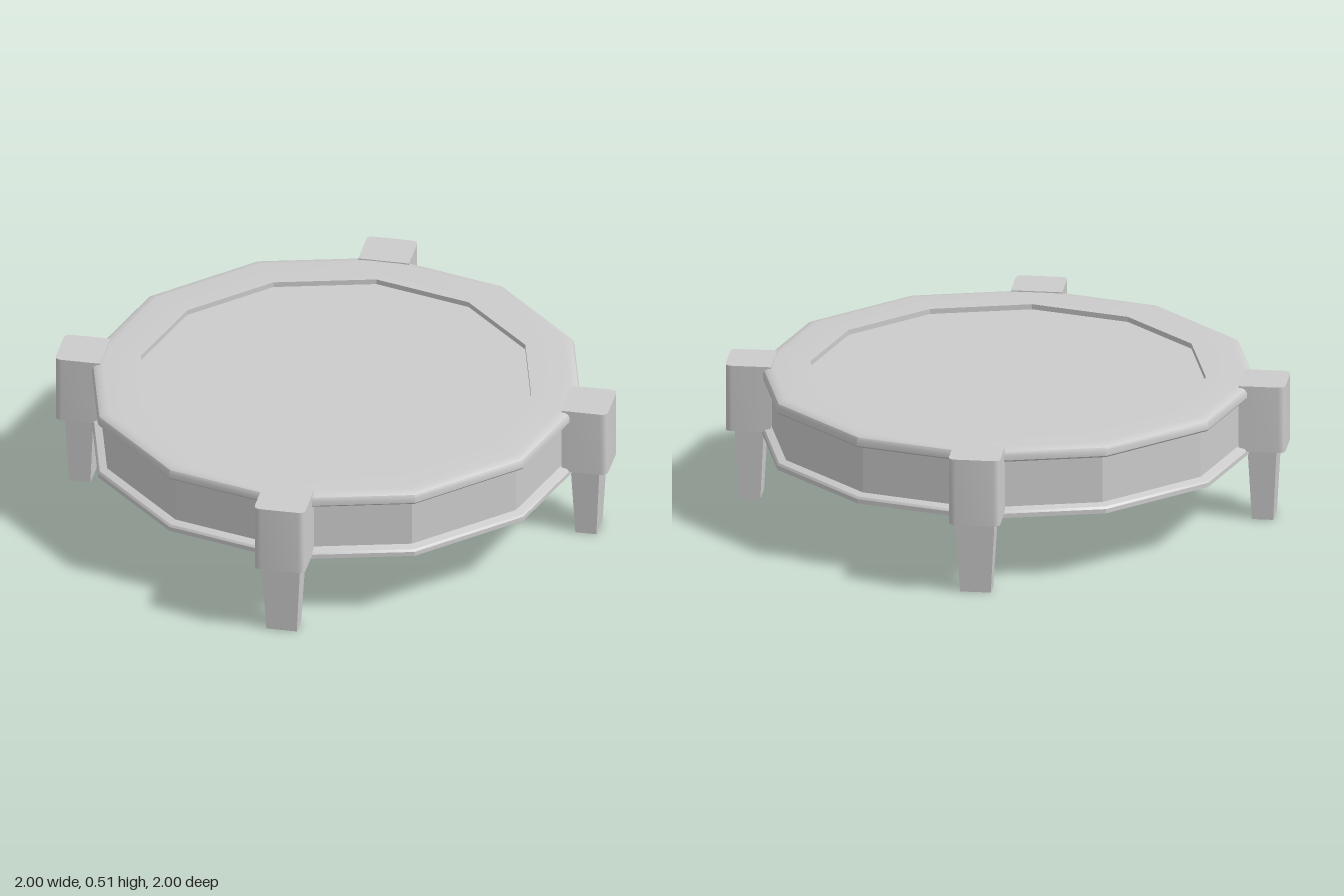
import * as THREE from 'three';
import { toCreasedNormals } from 'three/addons/utils/BufferGeometryUtils.js';

const material = new THREE.MeshStandardMaterial({ color: 0xcccccc, side: THREE.DoubleSide });

function part(name, geometry, crease) {
  const mesh = new THREE.Mesh(toCreasedNormals(geometry, crease), material);
  mesh.name = name;
  return mesh;
}

// Twelve-sided thin shell turned from a [radius, height] profile
function ring(name, profile) {
  const points = profile.map(([r, y]) => new THREE.Vector2(r, y));
  return part(name, new THREE.LatheGeometry(points, 12), 0.45);
}

// Post block with rounded corners, standing on the +z side
function post() {
  const w = 0.092, inner = 0.835, outer = 1, r = 0.025;
  const s = new THREE.Shape();
  s.moveTo(-w, -inner);
  s.lineTo(-w, -outer + r);
  s.quadraticCurveTo(-w, -outer, -w + r, -outer);
  s.lineTo(w - r, -outer);
  s.quadraticCurveTo(w, -outer, w, -outer + r);
  s.lineTo(w, -inner);
  s.closePath();
  const g = new THREE.ExtrudeGeometry(s, { depth: 0.245, bevelEnabled: false, curveSegments: 4 });
  g.rotateX(-Math.PI / 2).translate(0, 0.265, 0);
  return part('post', g, 0.6);
}

// Hollow tapered leg, open at the foot
function leg() {
  const h = 0.27;
  const g = new THREE.CylinderGeometry(Math.SQRT2, Math.SQRT2, h, 4, 1, true);
  g.rotateY(Math.PI / 4).translate(0, h / 2, 0);
  const p = g.attributes.position;
  for (let i = 0; i < p.count; i++) {
    const t = p.getY(i) / h;
    p.setX(i, p.getX(i) * (0.055 + 0.015 * t));
    p.setZ(i, 0.916 + p.getZ(i) * (0.038 + 0.014 * t));
  }
  return part('leg', g, 0.4);
}

export function createModel() {
  const model = new THREE.Group();
  model.name = 'trampoline';

  // Side wall with the stepped lower flange
  model.add(ring('frameWall', [
    [0.888, 0.25], [0.888, 0.266], [0.882, 0.274], [0.855, 0.282], [0.855, 0.46],
  ]));
  // Padded rim with a rounded outer edge and a short inner drop
  model.add(ring('paddedRim', [
    [0.855, 0.46], [0.884, 0.46], [0.889, 0.466], [0.889, 0.486], [0.884, 0.496],
    [0.872, 0.503], [0.85, 0.506], [0.707, 0.506], [0.707, 0.487],
  ]));
  // Flat bed
  const bed = part('bed', new THREE.CircleGeometry(0.707, 12).rotateX(-Math.PI / 2), 0.4);
  bed.position.y = 0.487;
  model.add(bed);

  // Four legs around the frame
  for (let i = 0; i < 4; i++) {
    const support = new THREE.Group();
    support.name = 'support' + (i + 1);
    support.add(post(), leg());
    support.rotation.y = i * Math.PI / 2;
    model.add(support);
  }
  return model;
}
